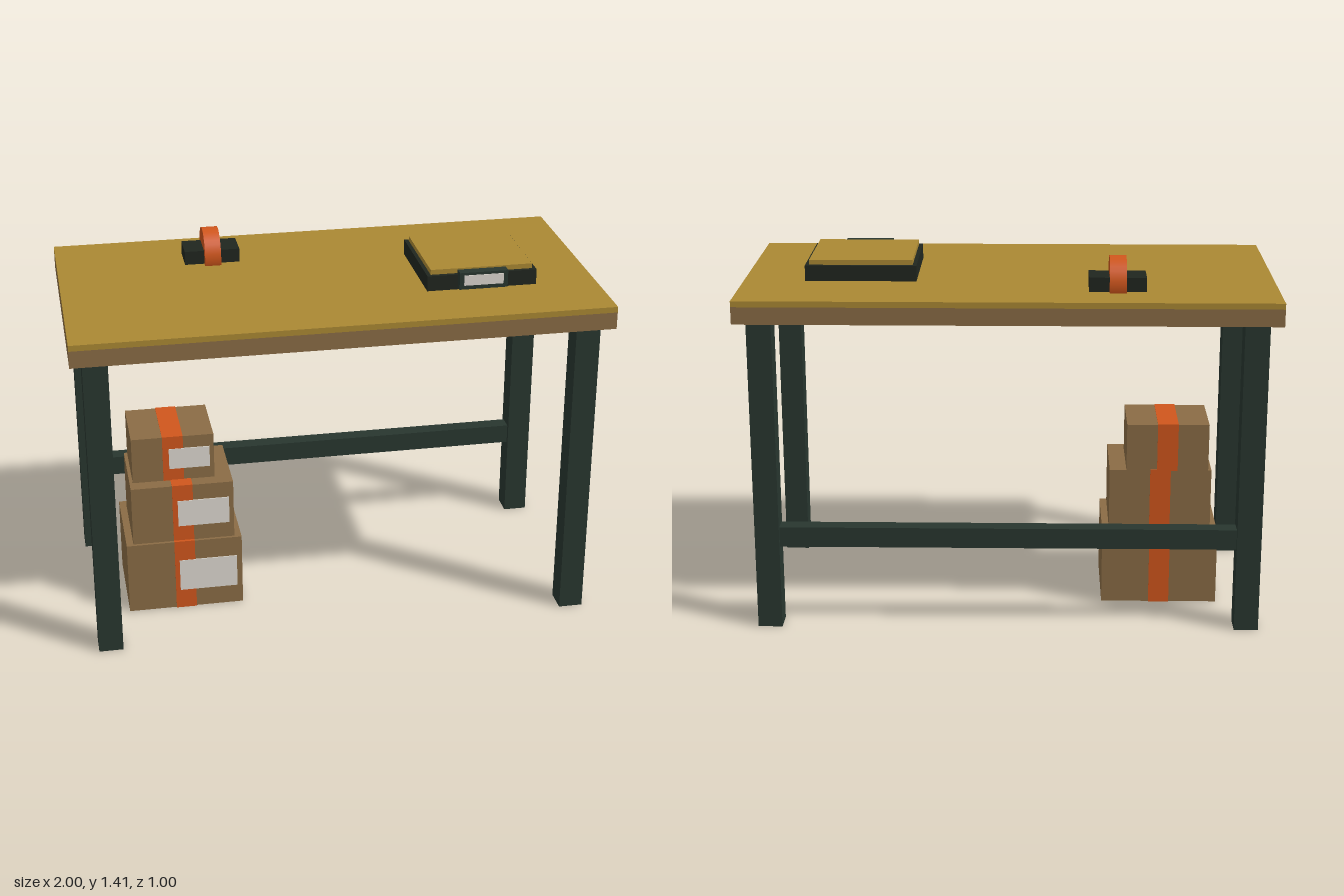
import * as THREE from 'three';

const paint = (color) => new THREE.MeshStandardMaterial({ color });

export function createModel() {
  const wood = paint(0x8a6c45);
  const mustard = paint(0xaa8833);
  const steel = paint(0x28362f);
  const black = paint(0x20261f);
  const orange = paint(0xd0561c);
  const paper = paint(0xddd8cf);

  const model = new THREE.Group();
  model.name = 'packingTable';

  // Box given by its lower and upper limits on each axis
  const block = (parent, name, material, [x0, x1], [y0, y1], [z0, z1]) => {
    const mesh = new THREE.Mesh(new THREE.BoxGeometry(x1 - x0, y1 - y0, z1 - z0), material);
    mesh.position.set((x0 + x1) / 2, (y0 + y1) / 2, (z0 + z1) / 2);
    mesh.name = name;
    parent.add(mesh);
    return mesh;
  };
  const group = (name) => {
    const g = new THREE.Group();
    g.name = name;
    model.add(g);
    return g;
  };

  // Table: board, work mat, four legs and a rear rail
  const table = group('table');
  block(table, 'tableTop', wood, [-1, 1], [1.205, 1.27], [-0.5, 0.5]);
  block(table, 'workMat', mustard, [-1, 1], [1.27, 1.292], [-0.5, 0.5]);
  for (const sx of [-1, 1]) {
    for (const sz of [-1, 1]) {
      const leg = block(table, sz > 0 ? 'frontLeg' : 'backLeg', steel,
        [-0.046, 0.046], [0, 1.205], [-0.046, 0.046]);
      leg.position.x = sx * 0.909;
      leg.position.z = sz * 0.409;
    }
  }
  block(table, 'backRail', steel, [-0.88, 0.88], [0.322, 0.4], [-0.44, -0.378]);

  // Stack of cartons, each with a wrapped tape band and a front label
  const cartons = [
    { x: [-0.815, -0.365], y: [0.002, 0.295], z: [-0.186, 0.188], label: [[-0.612, -0.386], [0.08, 0.213]] },
    { x: [-0.788, -0.392], y: [0.295, 0.535], z: [-0.144, 0.176], label: [[-0.61, -0.41], [0.36, 0.47]] },
    { x: [-0.775, -0.457], y: [0.535, 0.72], z: [-0.144, 0.122], label: [[-0.632, -0.474], [0.585, 0.67]] },
  ];
  const skin = 0.002;
  for (const { x, y, z, label } of cartons) {
    const carton = group('carton');
    const mid = (x[0] + x[1]) / 2;
    block(carton, 'cartonBody', wood, x, y, z);
    block(carton, 'cartonTape', orange, [mid - 0.04, mid + 0.04],
      [y[0] - skin, y[1] + skin], [z[0] - skin, z[1] + skin]);
    block(carton, 'cartonLabel', paper, label[0], label[1], [z[1], z[1] + 2 * skin]);
  }

  // Weighing scale with plate and front display
  const scale = group('scale');
  block(scale, 'scaleBase', black, [0.348, 0.768], [1.292, 1.351], [-0.176, 0.226]);
  block(scale, 'scalePlate', mustard, [0.363, 0.753], [1.351, 1.37], [-0.161, 0.211]);
  block(scale, 'scaleDisplay', steel, [0.465, 0.65], [1.3, 1.366], [0.215, 0.253]);
  block(scale, 'displayScreen', paper, [0.482, 0.633], [1.316, 1.356], [0.253, 0.256]);

  // Tape dispenser: low base with a roll standing through it
  const dispenser = group('tapeDispenser');
  block(dispenser, 'dispenserBase', black, [-0.51, -0.298], [1.292, 1.345], [-0.33, -0.208]);
  const roll = new THREE.Mesh(new THREE.CylinderGeometry(0.093, 0.093, 0.062, 32), orange);
  roll.name = 'tapeRoll';
  roll.rotation.z = Math.PI / 2;
  roll.position.set(-0.404, 1.322, -0.268);
  dispenser.add(roll);

  return model;
}
